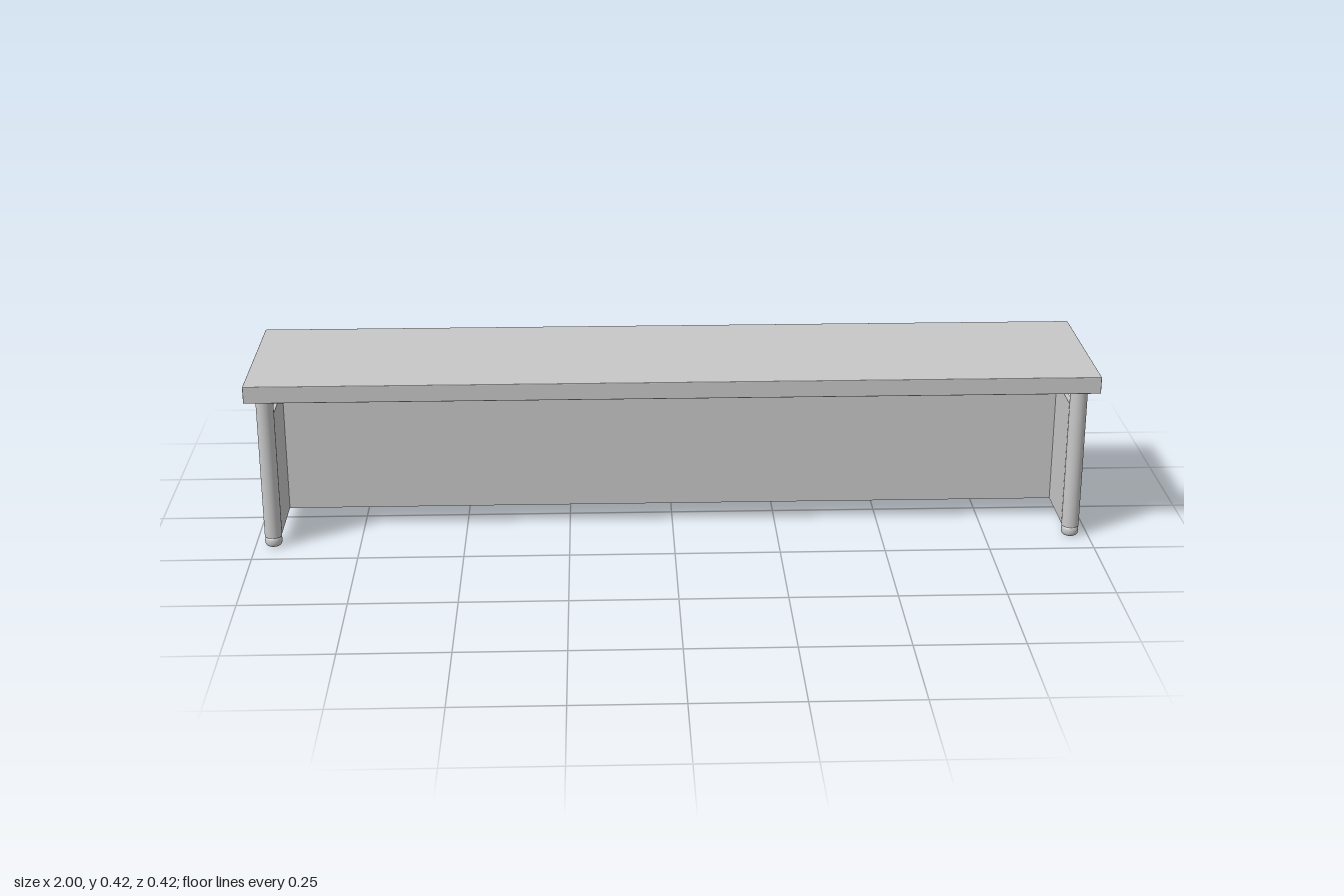
import * as THREE from 'three';
import { RoundedBoxGeometry } from 'three/addons/geometries/RoundedBoxGeometry.js';

export function createModel() {
  const model = new THREE.Group();
  model.name = 'desk';
  const grey = new THREE.MeshStandardMaterial({ color: 0xc8c8c8 });
  grey.name = 'light grey';

  const add = (name, geometry, x, y, z) => {
    const mesh = new THREE.Mesh(geometry, grey);
    mesh.name = name;
    mesh.position.set(x, y, z);
    model.add(mesh);
  };

  // Box given by its lower and upper corners
  const addBox = (name, [x0, y0, z0], [x1, y1, z1]) =>
    add(name, new THREE.BoxGeometry(x1 - x0, y1 - y0, z1 - z0),
      (x0 + x1) / 2, (y0 + y1) / 2, (z0 + z1) / 2);

  const legX = 0.957, legZ = 0.167, legR = 0.0205;
  const footTop = 0.025, panelTop = 0.334, topBottom = 0.376, topHeight = 0.041;

  // Worktop with slightly softened edges
  add('worktop', new RoundedBoxGeometry(2, topHeight, 0.416, 2, 0.002),
    0, topBottom + topHeight / 2, 0);

  // Full-height back panel and the lower cabinet block in front of it
  addBox('backPanel', [-legX, footTop, -0.187], [legX, topBottom, -0.15]);
  addBox('cabinetBlock', [-0.94, footTop, -0.15], [0.94, panelTop, 0.002]);

  // Rounded foot profile
  const footShape = new THREE.Path();
  footShape.moveTo(0, 0);
  footShape.lineTo(0.01, 0);
  footShape.quadraticCurveTo(legR, 0.001, legR, 0.013);
  footShape.quadraticCurveTo(legR, 0.022, 0.016, footTop);
  const footGeometry = new THREE.LatheGeometry(footShape.getPoints(8), 32);
  const legGeometry = new THREE.CylinderGeometry(legR, legR, topBottom - footTop, 32);

  for (const side of [-1, 1]) {
    // Thin end panel along the inner side of the two legs
    addBox('endPanel', [side * 0.9435 - 0.0055, footTop, -legZ], [side * 0.9435 + 0.0055, panelTop, legZ]);
    for (const end of [-1, 1]) {
      add('leg', legGeometry, side * legX, (topBottom + footTop) / 2, end * legZ);
      add('foot', footGeometry, side * legX, 0, end * legZ);
    }
  }
  return model;
}
